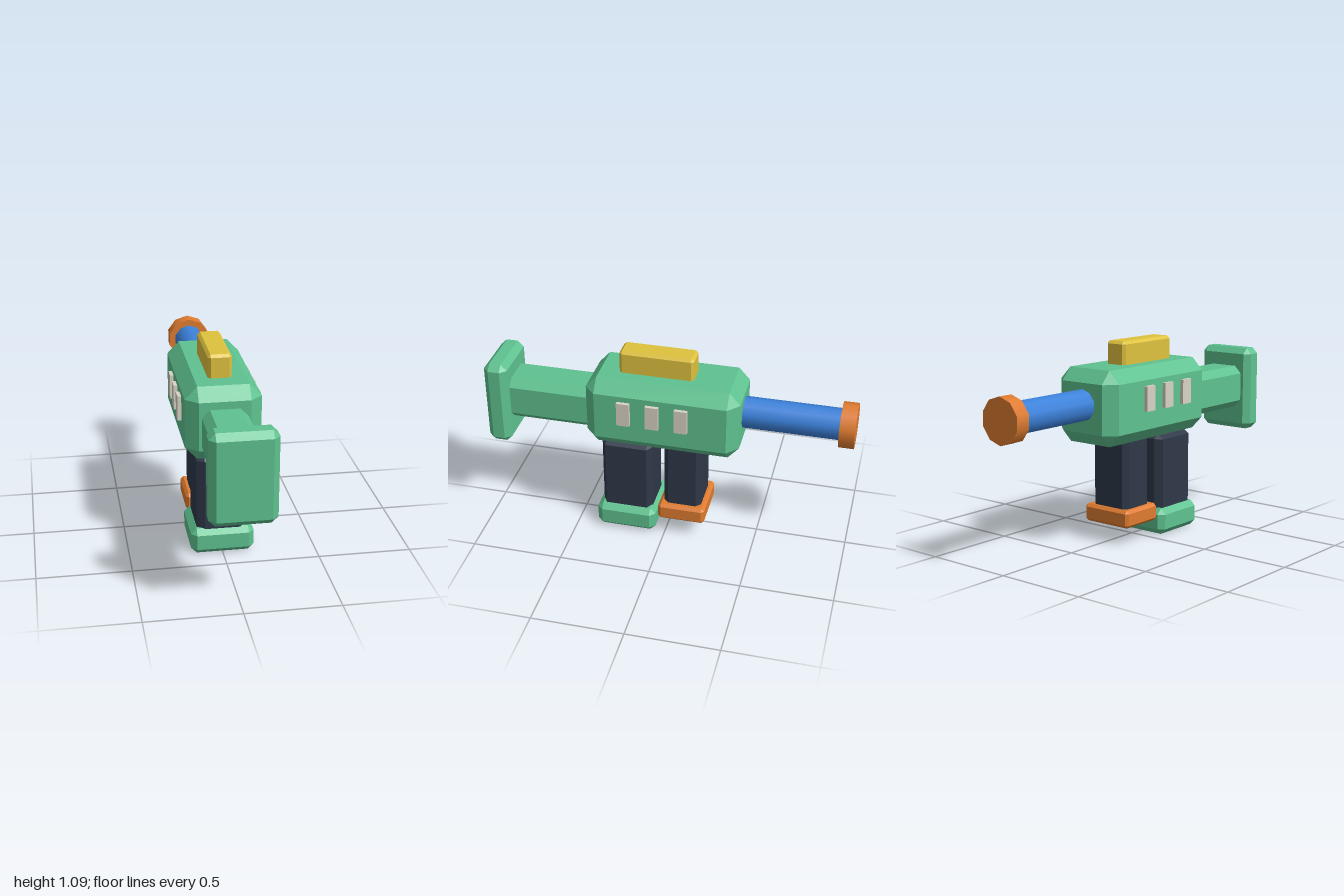
import * as THREE from 'three';
import { ConvexGeometry } from 'three/addons/geometries/ConvexGeometry.js';

const GREEN = 0x5fc290, DARK = 0x2f3849, BLUE = 0x3b82dc, ORANGE = 0xe07c30, YELLOW = 0xdfc23e, PALE = 0xd9d3c6;

const material = (color, flatShading = true) => new THREE.MeshStandardMaterial({ color, flatShading });

// Box with all edges cut, given as [min, max] per axis and the cut depth per axis
function chamferBox([x0, x1], [y0, y1], [z0, z1], cut) {
  const c = Array.isArray(cut) ? cut : [cut, cut, cut];
  const half = [(x1 - x0) / 2, (y1 - y0) / 2, (z1 - z0) / 2];
  const points = [];
  for (const sx of [-1, 1]) for (const sy of [-1, 1]) for (const sz of [-1, 1]) {
    for (let face = 0; face < 3; face++) {
      const p = half.map((h, i) => (i === face ? h : h - c[i]));
      points.push(new THREE.Vector3(sx * p[0], sy * p[1], sz * p[2]));
    }
  }
  return new ConvexGeometry(points).translate((x0 + x1) / 2, (y0 + y1) / 2, (z0 + z1) / 2);
}

// Ten-sided rod along z
function rod(radius, z0, z1, y) {
  return new THREE.CylinderGeometry(radius, radius, z1 - z0, 10)
    .rotateX(Math.PI / 2).translate(0, y, (z0 + z1) / 2);
}

export function createModel() {
  const group = new THREE.Group();
  const add = (name, geometry, color, flat = true) => {
    const mesh = new THREE.Mesh(geometry, material(color, flat));
    mesh.name = name;
    group.add(mesh);
  };
  const block = (name, halfWidth, y, z, cut, color) =>
    add(name, chamferBox([-halfWidth, halfWidth], y, z, cut), color);

  // Main body and shoulder stock
  block('body', 0.2, [0.56, 0.96], [-0.405, 0.43], [0.065, 0.067, 0.06], GREEN);
  block('stockArm', 0.12, [0.608, 0.852], [0.35, 0.93], 0.042, GREEN);
  block('stockPlate', 0.17, [0.475, 0.958], [0.87, 1], 0.033, GREEN);

  // Sight rail on top
  block('topSight', 0.063, [0.93, 1.085], [-0.14, 0.265], 0.015, YELLOW);

  // Rear grip and its foot
  block('grip', 0.137, [0.002, 0.56], [0.078, 0.36], [0.042, 0.028, 0.026], DARK);
  block('gripFoot', 0.17, [0, 0.145], [0.053, 0.386], 0.031, GREEN);

  // Magazine and its foot
  block('magazine', 0.12, [0.11, 0.6], [-0.197, 0.012], 0.027, DARK);
  block('magazineFoot', 0.152, [0.093, 0.19], [-0.224, 0.038], 0.016, ORANGE);

  // Barrel and muzzle
  add('barrel', rod(0.085, -0.95, -0.3, 0.775), BLUE, false);
  add('muzzle', rod(0.122, -1, -0.918, 0.775), ORANGE, false);

  // Three vents on each side
  for (const side of [-1, 1]) for (const z of [0.207, 0.052, -0.104]) {
    add(side > 0 ? 'leftVent' : 'rightVent',
      new THREE.BoxGeometry(0.04, 0.135, 0.07).translate(side * 0.2, 0.795, z), PALE);
  }
  return group;
}
